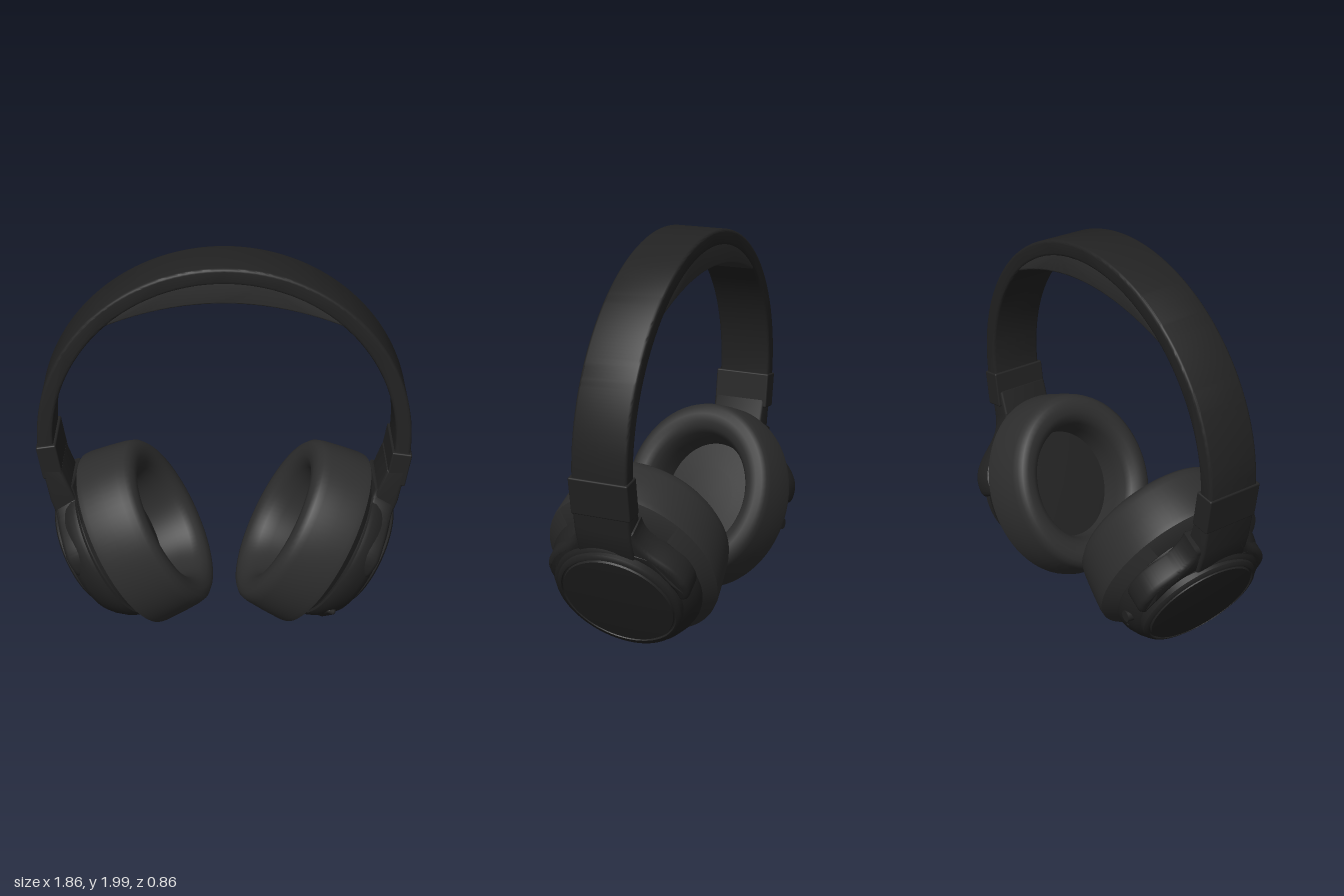
import * as THREE from 'three';
import { toCreasedNormals } from 'three/addons/utils/BufferGeometryUtils.js';
import { RoundedBoxGeometry } from 'three/addons/geometries/RoundedBoxGeometry.js';

const shell = new THREE.MeshStandardMaterial({ color: 0x222222 });
const leather = new THREE.MeshStandardMaterial({ color: 0x2e2e2e });
const V = (x, y) => new THREE.Vector2(x, y);

function add(parent, name, geometry, material = shell) {
  const mesh = new THREE.Mesh(geometry, material);
  mesh.name = name;
  parent.add(mesh);
  return mesh;
}

// Round part about the local y axis, squashed in z into an ellipse
function turned(points, squash) {
  const g = new THREE.LatheGeometry(points.map(p => V(...p)), 72);
  g.scale(1, 1, squash);
  return toCreasedNormals(g, 0.6);
}

// Bevelled plate whose total depth is centred on z = 0; bend moves its vertices
function plate(shape, depth, bevel, bend, curveSegments = 48) {
  const g = new THREE.ExtrudeGeometry(shape, {
    depth: depth - 2 * bevel, curveSegments, bevelSize: bevel,
    bevelThickness: bevel, bevelOffset: -bevel, bevelSegments: 3,
  });
  g.translate(0, 0, bevel - depth / 2);
  const p = g.attributes.position;
  for (let i = 0; i < p.count; i++) p.setZ(i, p.getZ(i) + bend(p.getX(i), p.getY(i)));
  return toCreasedNormals(g, 0.6);
}

// The headband leans back slightly as it rises
const lean = (x, y) => -0.03 - 0.03 * (y - 1);

function headband(root) {
  const cy = 1.08, a = 0.12;
  const arch = new THREE.Shape();
  arch.absarc(0, cy, 0.924, -a, Math.PI + a, false);
  arch.absarc(0, cy, 0.845, Math.PI + a, -a, true);
  add(root, 'headband', plate(arch, 0.28, 0.014, lean, 80));

  // Cushion under the crown: flatter lower curve, upper curve hidden in the band
  const pad = new THREE.Shape();
  pad.moveTo(-0.565, 1.71);
  pad.quadraticCurveTo(-0.28, 1.827, 0, 1.827);
  pad.quadraticCurveTo(0.28, 1.827, 0.565, 1.71);
  pad.absarc(0, cy, 0.87, Math.PI * 0.265, Math.PI * 0.735, false);
  add(root, 'headbandPad', plate(pad, 0.27, 0.008, lean), leather);
}

function earCup(s) {
  const cup = new THREE.Group();
  cup.name = 'earCup';
  // Local axes: y points outward from the ear, -x points up the cup
  cup.position.set(0.502, 0.45, 0);
  cup.rotation.set(0, s > 0 ? 0.03 : -0.08, -Math.PI / 2 - 0.49);

  add(cup, 'earCushion', turned([
    [0.285, -0.05], [0.295, -0.15], [0.312, -0.215], [0.332, -0.248], [0.365, -0.268],
    [0.405, -0.274], [0.44, -0.266], [0.462, -0.245], [0.472, -0.21], [0.484, -0.12],
    [0.494, -0.02], [0.492, 0.008], [0.41, 0.06], [0.3, 0.06],
  ], 0.875), leather);
  add(cup, 'speakerCover', turned([[0, -0.055], [0.15, -0.052], [0.3, -0.045]], 0.875));

  add(cup, 'housing', turned([
    [0.395, 0.05], [0.395, 0.066], [0.41, 0.07], [0.412, 0.09], [0.4, 0.13],
    [0.372, 0.18], [0.345, 0.213], [0.325, 0.222], [0, 0.222],
  ], 0.92));
  const disc = add(cup, 'outerDisc', turned([
    [0.318, 0.19], [0.318, 0.232], [0.308, 0.243], [0.296, 0.246], [0.292, 0.237],
    [0.286, 0.237], [0.282, 0.248], [0.2, 0.252], [0, 0.254],
  ], 0.98));
  disc.position.set(-0.02, 0, -0.02 * s);

  // Hood that widens from the arm and wraps the upper half of the disc
  const hood = new THREE.Shape();
  hood.moveTo(-0.315, 0.04);
  hood.quadraticCurveTo(-0.365, 0.03, -0.358, 0.12);
  hood.bezierCurveTo(-0.34, 0.27, -0.15, 0.29, -0.142, 0.43);
  hood.lineTo(0.142, 0.43);
  hood.bezierCurveTo(0.15, 0.29, 0.34, 0.27, 0.358, 0.12);
  hood.quadraticCurveTo(0.365, 0.03, 0.315, 0.04);
  hood.absarc(0, 0, 0.31, 0.13, Math.PI - 0.13, false);
  // It curves inward towards its lobes and its top
  const g = plate(hood, 0.13, 0.02, (x, y) => -0.3 * x * x - 0.2 * Math.max(0, y - 0.15));
  g.rotateX(-Math.PI / 2).rotateY(Math.PI / 2);
  add(cup, 'hood', g).position.set(-0.02, 0.175, -0.02 * s);

  // Controls differ between the two cups
  if (s < 0) {
    const button = add(cup, 'button', new THREE.CylinderGeometry(0.028, 0.03, 0.04, 24));
    button.rotation.x = Math.PI / 2;
    button.position.set(0.06, 0.14, 0.355);
    for (const x of [0.16, 0.22]) {
      const dot = add(cup, 'indicator', new THREE.SphereGeometry(0.012, 12, 8));
      dot.position.set(x, 0.14, Math.sqrt(0.36 ** 2 - x * x));
    }
  } else {
    const slider = add(cup, 'slider', new RoundedBoxGeometry(0.16, 0.05, 0.04, 3, 0.015));
    slider.position.set(0.25, 0.15, 0.255);
    slider.rotation.y = Math.PI / 4;
  }
  const port = add(cup, 'port', new RoundedBoxGeometry(0.03, 0.03, 0.1, 3, 0.012));
  port.position.set(0.375, 0.15, 0);
  return cup;
}

function side(s) {
  const group = new THREE.Group();
  group.name = s > 0 ? 'leftSide' : 'rightSide';
  // The opposite side is a half turn, so z offsets carry the sign s
  if (s < 0) group.rotation.y = Math.PI;
  const drop = s > 0 ? 0.04 : 0;

  const sleeve = add(group, 'sleeve', new RoundedBoxGeometry(0.1, 0.185, 0.3, 3, 0.008));
  sleeve.position.set(0.868, 0.975 - drop, -0.028 * s);
  sleeve.rotation.z = -0.15;

  const arm = new THREE.Shape([
    V(0.905, 0.93), V(0.81, 0.93), V(0.765, 0.8), V(0.735, 0.72),
    V(0.72, 0.6), V(0.79, 0.56), V(0.842, 0.64), V(0.875, 0.75),
  ]);
  add(group, 'arm', plate(arm, 0.285, 0.014, () => -0.02 * s));

  group.add(earCup(s));
  return group;
}

export function createModel() {
  const root = new THREE.Group();
  root.name = 'headphones';
  headband(root);
  for (const s of [1, -1]) root.add(side(s));
  return root;
}
